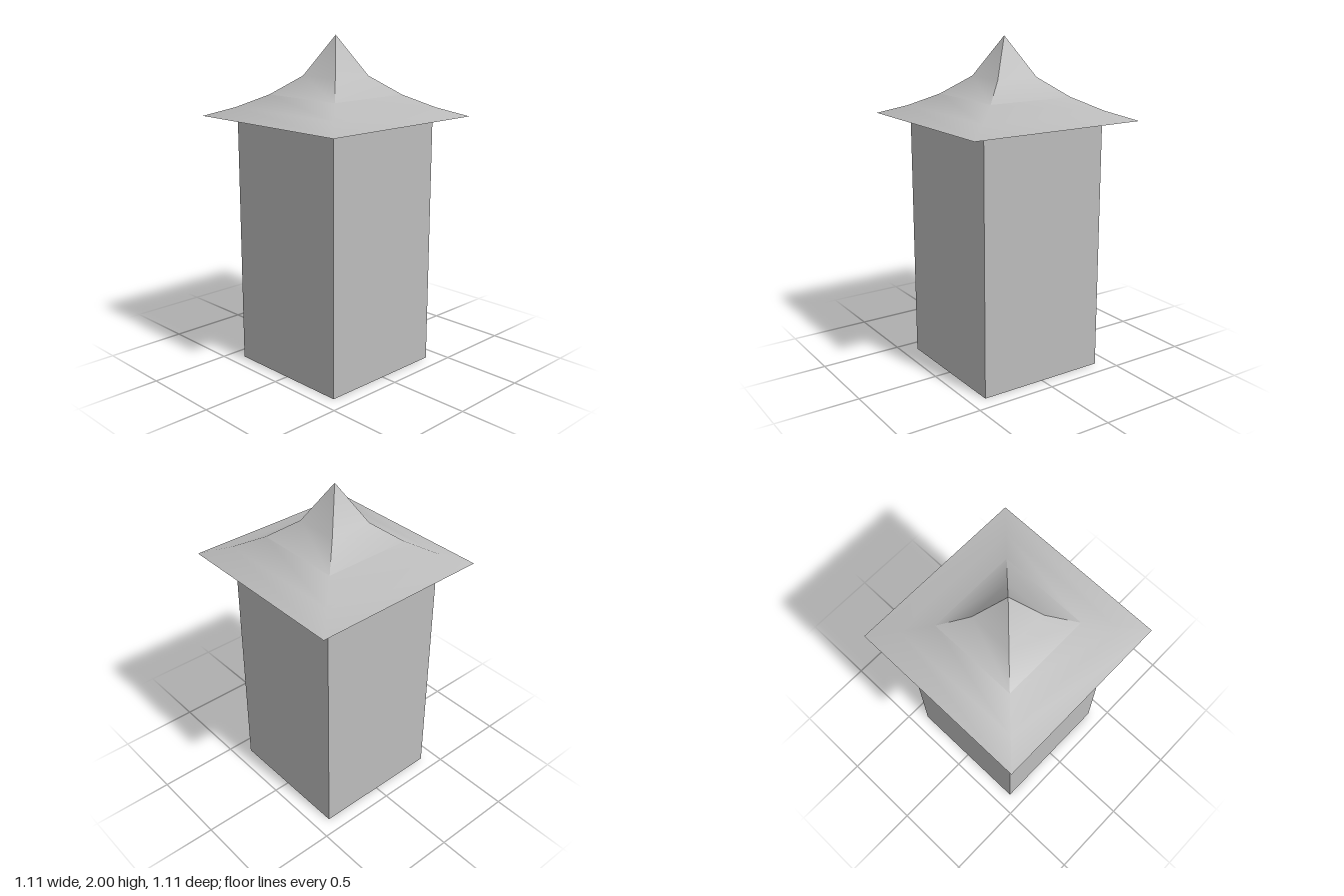
import * as THREE from 'three';
import { toCreasedNormals } from 'three/addons/utils/BufferGeometryUtils.js';

export function createModel() {
  const group = new THREE.Group();
  const stone = new THREE.MeshStandardMaterial({ color: 0xbcbcbc });
  stone.name = 'plain grey';

  // square tower body
  const eaveY = 1.53;
  const walls = new THREE.Mesh(new THREE.BoxGeometry(0.81, eaveY, 0.81), stone);
  walls.name = 'walls';
  walls.position.set(-0.003, eaveY / 2, 0.003);
  group.add(walls);

  // flared four-sided roof: [half width, height] from underside to tip
  const profile = [
    [0, eaveY], [0.554, eaveY], [0.414, 1.583], [0.274, 1.657], [0.134, 1.767], [0, 2],
  ].map(([half, y]) => new THREE.Vector2(half * Math.SQRT2, y));
  const roofShape = new THREE.LatheGeometry(profile, 4, Math.PI / 4);
  const roof = new THREE.Mesh(toCreasedNormals(roofShape, THREE.MathUtils.degToRad(48)), stone);
  roof.name = 'roof';
  group.add(roof);

  return group;
}
